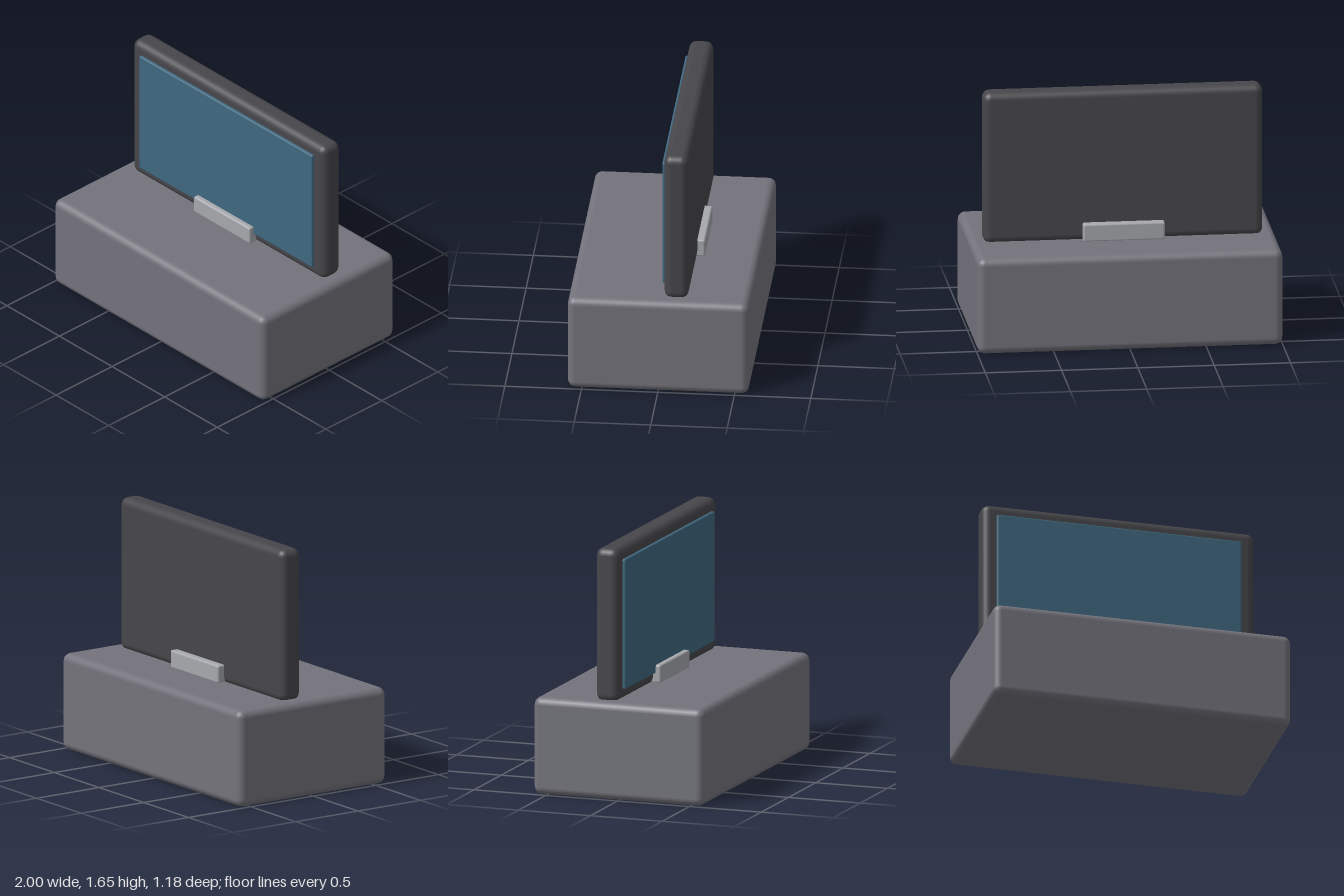
import * as THREE from 'three';
import { RoundedBoxGeometry } from 'three/addons/geometries/RoundedBoxGeometry.js';

// Rounded box given by its extents on y and z, centred on x
function roundedPart(name, color, width, [y0, y1], [z0, z1], radius) {
  const geometry = new RoundedBoxGeometry(width, y1 - y0, z1 - z0, 3, radius);
  const mesh = new THREE.Mesh(geometry, new THREE.MeshStandardMaterial({ color }));
  mesh.name = name;
  mesh.position.set(0, (y0 + y1) / 2, (z0 + z1) / 2);
  return mesh;
}

export function createModel() {
  const model = new THREE.Group();
  model.name = 'screenOnBase';
  model.add(
    // Heavy block the screen stands on
    roundedPart('base', 0x74737c, 2, [0, 0.645], [-0.592, 0.592], 0.05),
    // Upright housing, sunk slightly into the base
    roundedPart('screenHousing', 0x47464a, 1.83, [0.63, 1.65], [-0.19, -0.032], 0.05),
    // Thin glass panel standing proud of the housing
    roundedPart('screenPanel', 0x3f6880, 1.645, [0.705, 1.57], [-0.05, -0.012], 0.01),
    // Hinge block passing through the housing front to back
    roundedPart('hinge', 0xa6a8ad, 0.535, [0.64, 0.76], [-0.241, 0.023], 0.013),
  );
  return model;
}
